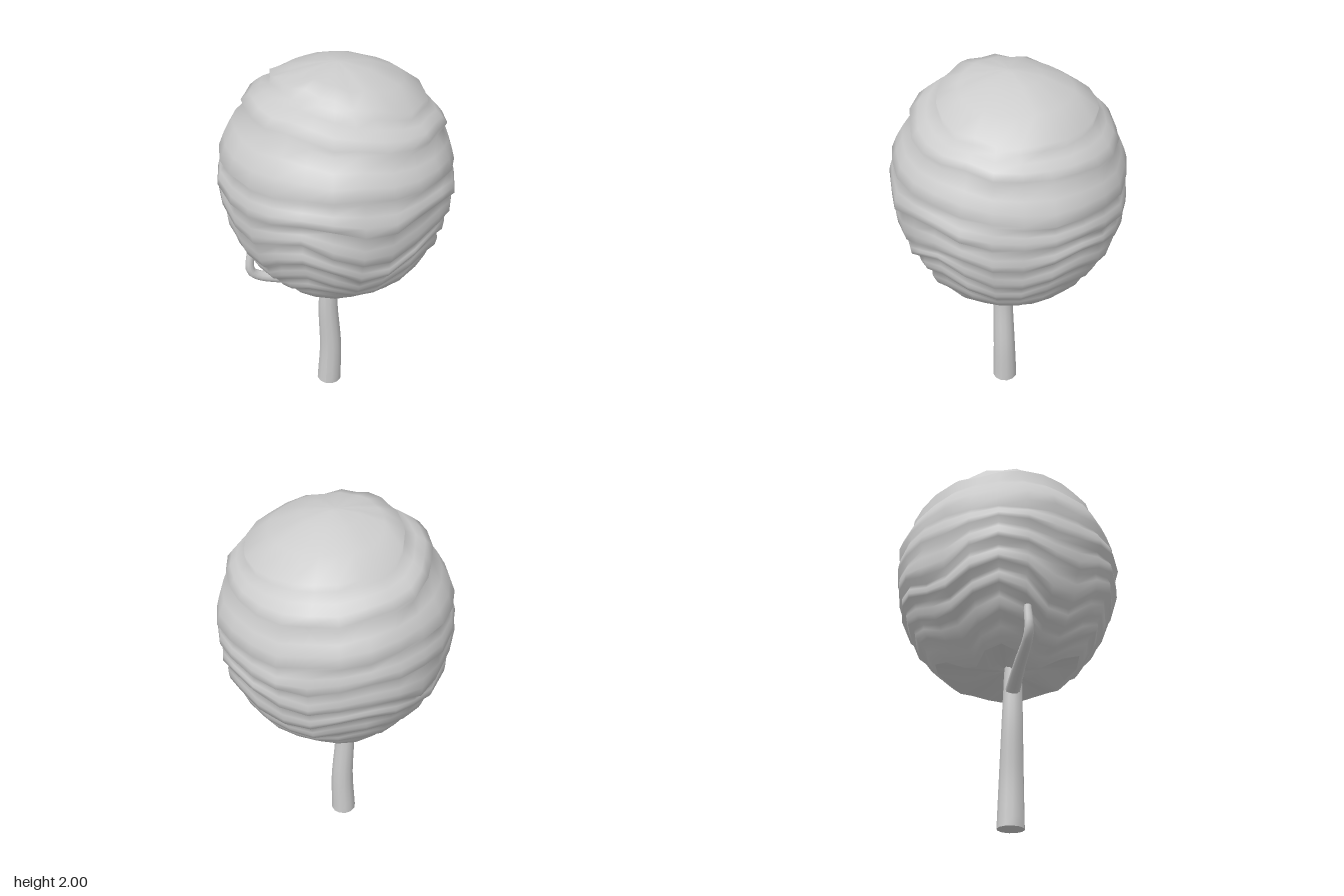
import * as THREE from 'three';

const SIDES = 25;
const material = new THREE.MeshStandardMaterial({ color: 0xcccccc, side: THREE.DoubleSide });

// Seeded random numbers in -1..1
function seeded(seed) {
  return () => {
    seed = (seed * 16807) % 2147483647;
    return (seed / 2147483647) * 2 - 1;
  };
}

// Skin a list of closed rings (listed top to bottom) with smooth normals
function skin(rings) {
  const n = rings[0].length;
  const index = [];
  for (let r = 0; r < rings.length - 1; r++) {
    for (let i = 0; i < n; i++) {
      const j = (i + 1) % n;
      const a = r * n + i, b = r * n + j, c = a + n, d = b + n;
      index.push(a, c, b, b, c, d);
    }
  }
  const geo = new THREE.BufferGeometry().setFromPoints(rings.flat());
  geo.setIndex(index);
  geo.computeVertexNormals();
  return geo;
}

// Tapered round limb along a smooth path, closed at both ends
function limb(name, points, r0, r1, steps) {
  const path = new THREE.CatmullRomCurve3(points.map(p => new THREE.Vector3(...p)), false, 'centripetal');
  const geo = new THREE.TubeGeometry(path, steps, 1, 12, false);
  const pos = geo.attributes.position, v = new THREE.Vector3();
  for (let i = 0; i < pos.count; i++) {
    const t = Math.floor(i / 13) / steps;
    const centre = path.getPointAt(t);
    v.fromBufferAttribute(pos, i).sub(centre).multiplyScalar(r0 + (r1 - r0) * t).add(centre);
    pos.setXYZ(i, v.x, v.y, v.z);
  }
  geo.computeVertexNormals();
  const group = new THREE.Group();
  group.name = name;
  group.add(new THREE.Mesh(geo, material));
  for (const [t, r, dir] of [[0, r0, -1], [1, r1, 1]]) {
    const cap = new THREE.Mesh(new THREE.CircleGeometry(r, 12), material);
    cap.position.copy(path.getPointAt(t));
    cap.quaternion.setFromUnitVectors(new THREE.Vector3(0, 0, 1), path.getTangentAt(t).multiplyScalar(dir));
    group.add(cap);
  }
  return group;
}

// Point on the crown: polar angle from the top, side index, scale of radius
function crownPoint(polar, i, scale) {
  const turn = (i / SIDES) * Math.PI * 2;
  const r = 0.6 * Math.sin(polar) * scale;
  const c = Math.cos(polar);
  // The lower half hangs deeper than the upper half rises
  const y = 1.4 + c * (c < 0 ? 0.69 : 0.6 * scale);
  return new THREE.Vector3(r * Math.sin(turn), y, r * Math.cos(turn));
}

function createCrown() {
  const crown = new THREE.Group();
  crown.name = 'crown';
  const rand = seeded(77);
  const edges = [0, 0.68, 0.98, 1.36, 1.58, 1.78, 1.96, 2.14, 2.33, 2.57];

  // Rim of each tier: tilted near the top, scalloped in five lobes lower down
  const rims = edges.map(edge => {
    const phase = 3 * rand();
    return Array.from({ length: SIDES }, (_, i) => {
      if (edge === 0) return { polar: 0, swell: 1 };
      const turn = (i / SIDES) * Math.PI * 2;
      const high = Math.cos(turn + 0.56);
      const upper = Math.max(0, 1 - edge / 1.9);
      const lobes = 0.1 * THREE.MathUtils.smoothstep(edge, 1.2, 2.1) * (1 + 0.4 * Math.cos(turn)) * Math.cos(5 * turn);
      const drift = 0.025 * Math.cos(2 * turn + phase);
      return {
        polar: edge - 0.27 * upper * high - lobes + drift + 0.02 * rand(),
        swell: 1.015 + 0.06 * upper * Math.max(0, high) + 0.018 * rand()
      };
    });
  });

  // Overlapping leaf tiers, each flaring out to its rim and tucking softly under
  const rows = [];
  for (let k = 1; k < edges.length; k++) {
    const start = k === 1 ? 1 : 0.975;
    const inset = k === 1 ? 0 : 0.04;
    for (const t of k === 1 ? [0, 0.08, 0.35, 0.7, 1] : [0, 0.35, 0.7, 1]) {
      rows.push(rims[k].map((rim, i) => {
        const polar = THREE.MathUtils.lerp(rims[k - 1][i].polar + inset, rim.polar, t);
        const flare = k === 1 ? t * t : Math.sqrt(t);
        return crownPoint(polar, i, THREE.MathUtils.lerp(start, rim.swell, flare));
      }));
    }
  }
  const leaves = new THREE.Mesh(skin(rows), material);
  leaves.name = 'leafTiers';
  crown.add(leaves);

  // Shallow underside rising to the trunk
  const last = rows[rows.length - 1];
  const hub = new THREE.Vector3(0, 0.86, 0);
  const under = new THREE.Mesh(skin([0, 0.5, 1].map(t => last.map(p => p.clone().lerp(hub, t)))), material);
  under.name = 'crownUnderside';
  crown.add(under);
  return crown;
}

export function createModel() {
  const tree = new THREE.Group();
  tree.name = 'tree';
  tree.add(
    limb('trunk', [[-0.04, 0, 0.04], [-0.03, 0.25, 0.04], [-0.04, 0.55, 0.05], [-0.03, 0.75, 0.05], [-0.02, 0.93, 0.05]], 0.07, 0.045, 20),
    limb('sideBranch', [[-0.04, 0.72, 0.05], [-0.22, 0.78, 0.16], [-0.37, 0.84, 0.26], [-0.4, 0.88, 0.28], [-0.395, 1.01, 0.27]], 0.04, 0.02, 20),
    limb('backBranch', [[-0.03, 0.76, 0.04], [0.07, 0.83, -0.01], [0.2, 0.92, -0.07]], 0.035, 0.025, 8),
    createCrown()
  );
  return tree;
}
